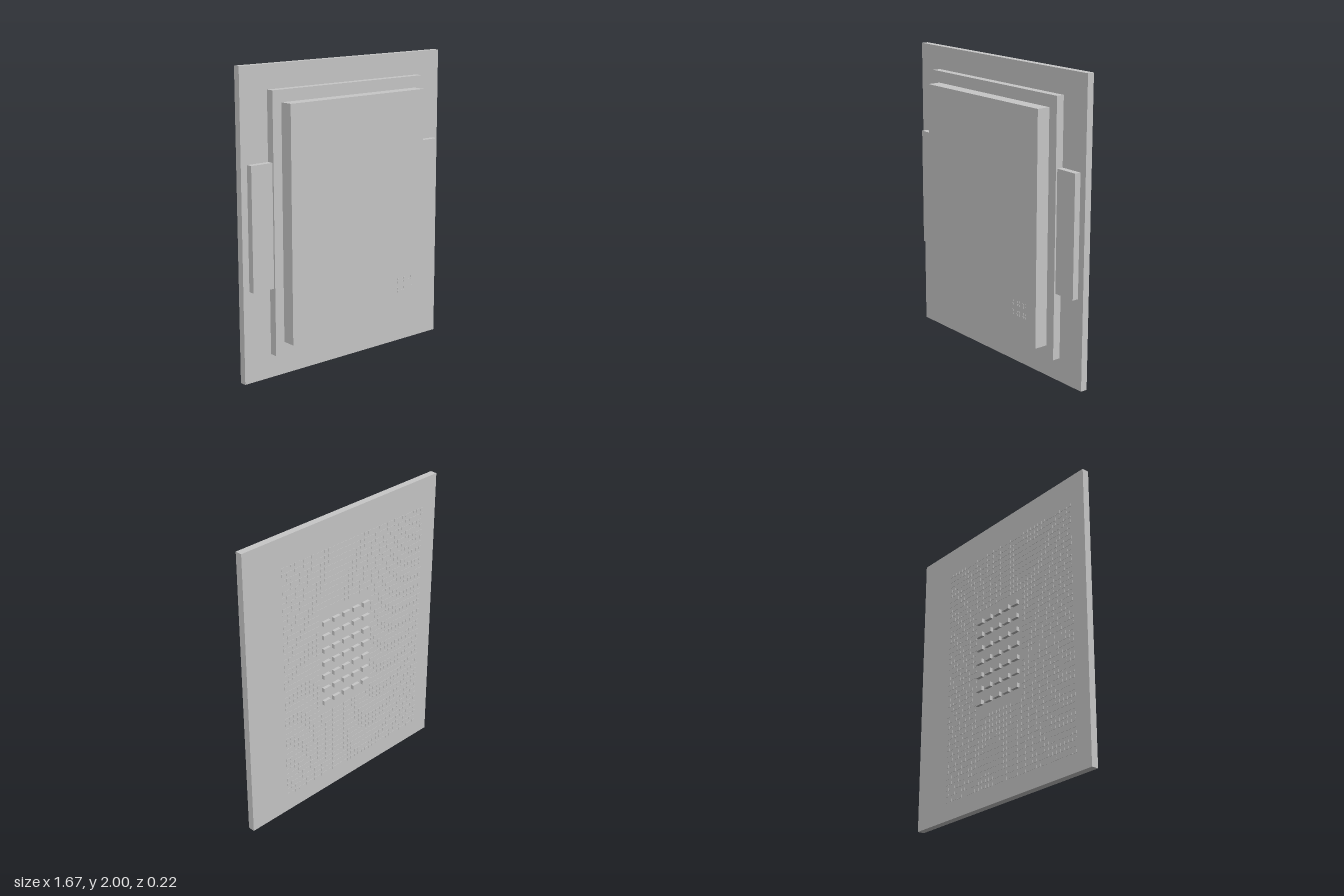
import * as THREE from 'three';
import { mergeGeometries } from 'three/addons/utils/BufferGeometryUtils.js';

const metal = new THREE.MeshStandardMaterial({ color: 0xc8c8c8 });
metal.name = 'lightGrey';

// Box given by its limits on each axis
function block(x0, x1, y0, y1, z0, z1) {
  return new THREE.BoxGeometry(x1 - x0, y1 - y0, z1 - z0)
    .translate((x0 + x1) / 2, (y0 + y1) / 2, (z0 + z1) / 2);
}

export function createModel() {
  const group = new THREE.Group();
  const add = (name, geometry) => {
    const mesh = new THREE.Mesh(geometry, metal);
    mesh.name = name;
    group.add(mesh);
  };

  const back = -0.087, face = -0.04, lidFront = 0.105;

  // Board, stepped lid and side ears
  add('board', block(-0.833, 0.833, 0, 2, back, face));
  add('lidFlange', block(-0.627, 0.627, 0.157, 1.845, face, 0.014));
  add('lid', block(-0.56, 0.56, 0.237, 1.767, 0.014, lidFront));
  add('leftEar', block(0.627, 0.787, 0.6, 1.4, face, 0.003));
  add('rightEar', block(-0.787, -0.627, 0.6, 1.4, face, 0.003));

  // Contact pads on the back, leaving a window for the capacitors
  const pads = [];
  const columns = 36, rows = 43;
  for (let i = 0; i < columns; i++) {
    for (let j = 0; j < rows; j++) {
      const x = -0.7 + (i * 1.22) / (columns - 1);
      const y = 0.13 + (j * 1.66) / (rows - 1);
      if (Math.abs(x) < 0.24 && y > 0.64 && y < 1.36) continue;
      pads.push(block(x - 0.012, x + 0.012, y - 0.01, y + 0.01, back - 0.002, back));
    }
  }
  add('contactPads', mergeGeometries(pads));

  // Capacitors, five across and seven up
  const caps = [];
  for (let i = -2; i <= 2; i++) {
    for (let j = -3; j <= 3; j++) {
      const x = i * 0.089, y = 1.002 + j * 0.098;
      caps.push(block(x - 0.029, x + 0.029, y - 0.015, y + 0.015, -0.108, back));
    }
  }
  add('capacitors', mergeGeometries(caps));

  // Small raised dot patch in the lower corner of the lid
  const dots = [];
  for (let i = 0; i < 7; i++) {
    for (let j = 0; j < 7; j++) {
      if ((i * 3 + j * 5 + i * j) % 3 === 0) continue;
      const x = 0.34 + i * 0.02, y = 0.39 + j * 0.022;
      dots.push(block(x - 0.006, x + 0.006, y - 0.006, y + 0.006, lidFront, lidFront + 0.002));
    }
  }
  add('dotPatch', mergeGeometries(dots));

  return group;
}
